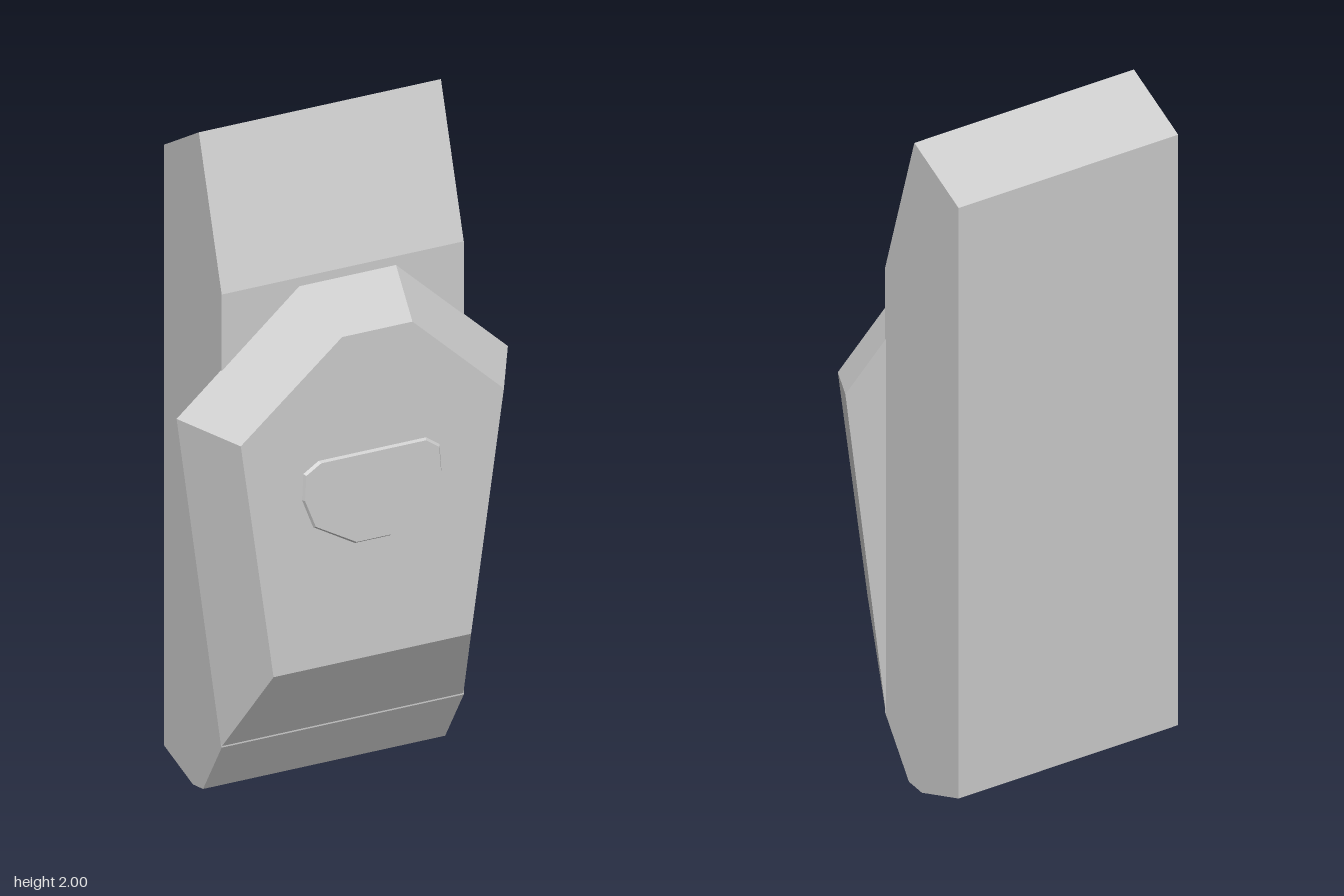
import * as THREE from 'three';

const material = new THREE.MeshStandardMaterial({ color: 0xcccccc, flatShading: true });

// Closed solid between two matching outlines, both counter-clockwise seen from +z
function loft(name, back, front, zBack, zFront) {
  const pos = [];
  const tri = (...pts) => pts.forEach((p) => pos.push(...p));
  const b = back.map(([x, y]) => [x, y, zBack]);
  const f = front.map(([x, y]) => [x, y, zFront]);
  const n = b.length;
  for (let i = 0; i < n; i++) {
    const j = (i + 1) % n;
    tri(b[i], b[j], f[i]);
    tri(f[i], b[j], f[j]);
    if (i > 0 && i < n - 1) {
      tri(f[0], f[i], f[j]);
      tri(b[0], b[j], b[i]);
    }
  }
  const geometry = new THREE.BufferGeometry();
  geometry.setAttribute('position', new THREE.Float32BufferAttribute(pos, 3));
  geometry.computeVertexNormals();
  const mesh = new THREE.Mesh(geometry, material);
  mesh.name = name;
  return mesh;
}

export function createModel() {
  const group = new THREE.Group();
  group.name = 'shieldedBlock';

  // Main slab: side profile (z, y) extruded across the width
  const profile = [
    [-0.26, 0.05], [-0.09, 0], [-0.03, 0.01], [0.08, 0.18],
    [0.08, 1.56], [-0.055, 2], [-0.26, 1.88],
  ].map(([z, y]) => new THREE.Vector2(-z, y));
  const bodyGeometry = new THREE.ExtrudeGeometry(new THREE.Shape(profile), { depth: 0.76, bevelEnabled: false });
  bodyGeometry.translate(0, 0, -0.38);
  bodyGeometry.rotateY(Math.PI / 2); // shape x becomes -z
  const body = new THREE.Mesh(bodyGeometry, material);
  body.name = 'body';
  group.add(body);

  // Bevelled shield on the front, its top edge slightly off centre
  group.add(loft('shield',
    [[-0.38, 0.18], [0.38, 0.18], [0.52, 1.21], [0.168, 1.535], [-0.137, 1.535], [-0.52, 1.21]],
    [[-0.31, 0.45], [0.31, 0.45], [0.413, 1.175], [0.126, 1.44], [-0.095, 1.44], [-0.413, 1.175]],
    0.077, 0.255));

  // Thin raised plate on the shield
  const plate = [
    [-0.055, 0.803], [0.055, 0.803], [0.185, 0.88], [0.218, 0.97], [0.212, 1.05],
    [0.17, 1.08], [-0.17, 1.08], [-0.218, 1.05], [-0.222, 0.97], [-0.187, 0.88],
  ];
  const inset = plate.map(([x, y]) => [x * 0.97, 0.95 + (y - 0.95) * 0.95]);
  group.add(loft('raisedPlate', plate, inset, 0.253, 0.263));

  return group;
}
